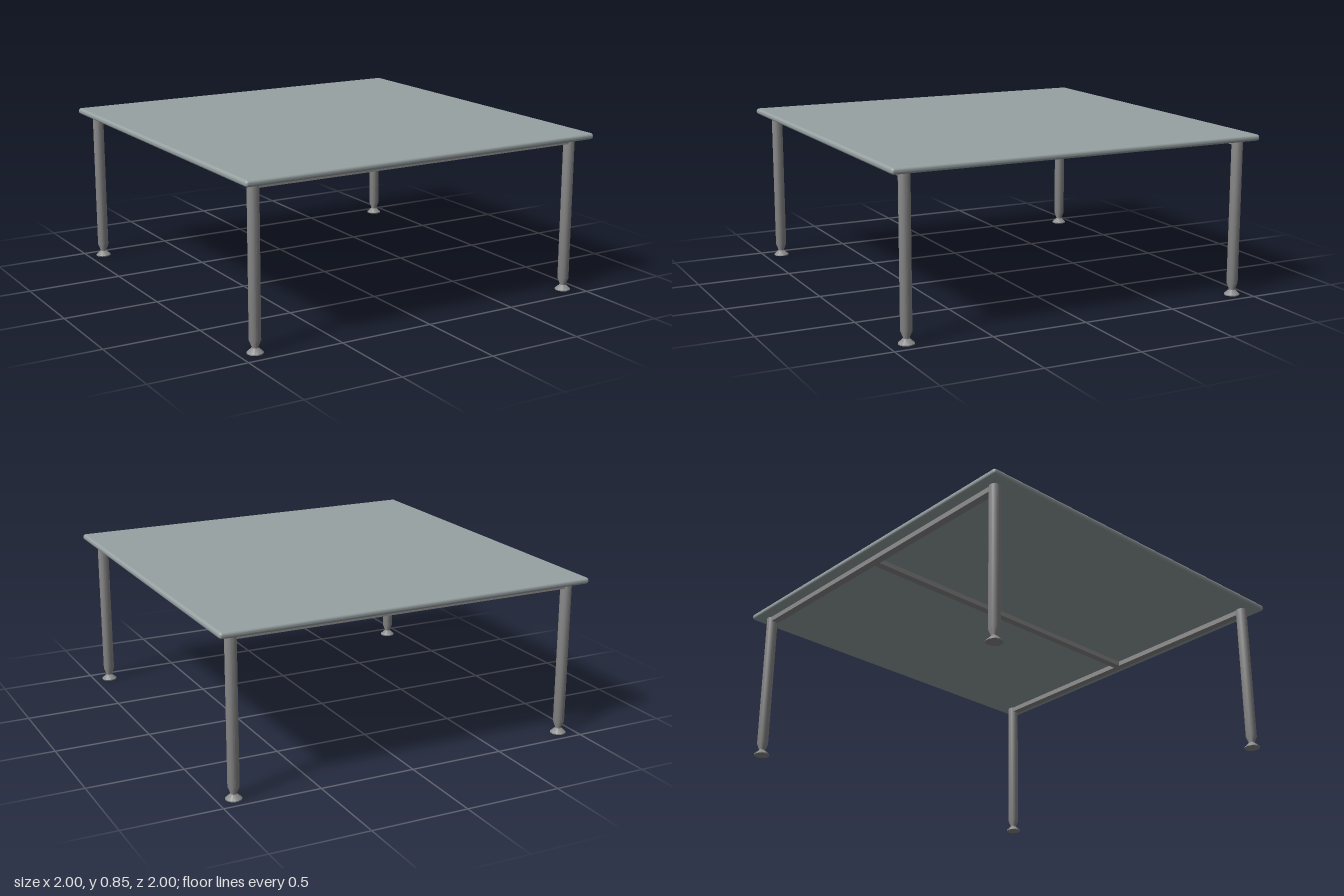
import * as THREE from 'three';
import { RoundedBoxGeometry } from 'three/addons/geometries/RoundedBoxGeometry.js';
import { toCreasedNormals } from 'three/addons/utils/BufferGeometryUtils.js';

export function createModel() {
  const table = new THREE.Group();
  table.name = 'table';
  const topMaterial = new THREE.MeshStandardMaterial({ color: 0x98a2a3 });
  const metal = new THREE.MeshStandardMaterial({ color: 0x8c8c8c });

  const add = (name, geometry, material, x, y, z) => {
    const mesh = new THREE.Mesh(geometry, material);
    mesh.name = name;
    mesh.position.set(x, y, z);
    table.add(mesh);
  };

  // Square top with a rounded rim
  add('tableTop', new RoundedBoxGeometry(2, 0.032, 2, 4, 0.014), topMaterial, 0, 0.829, 0);

  // Turned leg: flared foot, narrow neck, tapered end and straight tube
  const profile = [
    [0, 0], [0.04, 0], [0.04, 0.005], [0.016, 0.027], [0.016, 0.032],
    [0.029, 0.064], [0.029, 0.82], [0, 0.82],
  ].map(([r, y]) => new THREE.Vector2(r, y));
  const legGeometry = toCreasedNormals(new THREE.LatheGeometry(profile, 24), 0.5);

  const legX = 0.916, frontZ = 0.906, backZ = -0.921;
  for (const [end, z] of [['front', frontZ], ['back', backZ]]) {
    add(end + 'LeftLeg', legGeometry, metal, legX, 0, z);
    add(end + 'RightLeg', legGeometry, metal, -legX, 0, z);
    // Rail joining the two legs under the top
    add(end + 'Rail', new THREE.BoxGeometry(2 * legX, 0.034, 0.04), metal, 0, 0.803, z);
  }

  // Middle beam between the two rails
  add('middleBeam', new THREE.BoxGeometry(0.04, 0.034, frontZ - backZ), metal,
    0, 0.803, (frontZ + backZ) / 2);

  return table;
}
